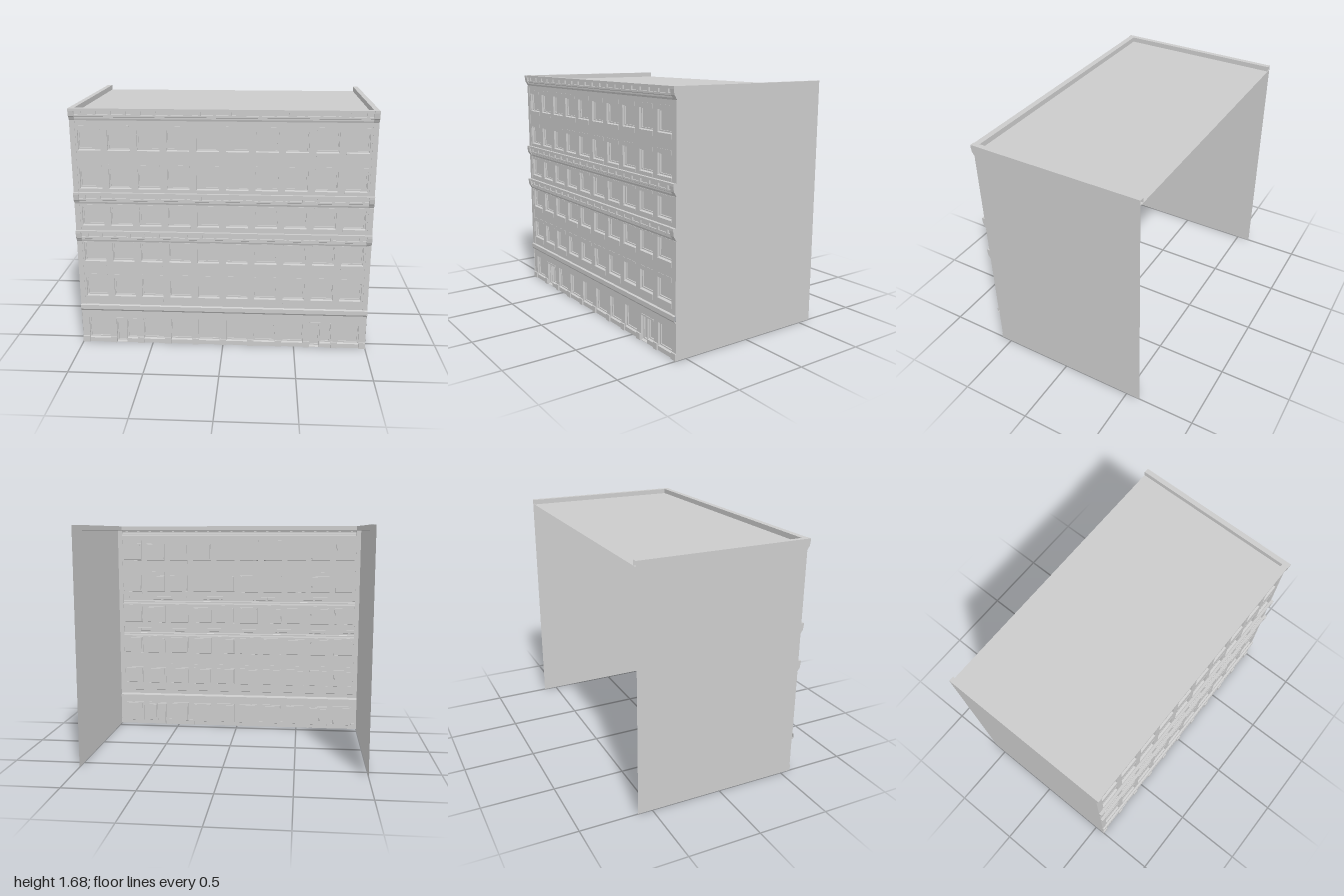
import * as THREE from 'three';

const mat = new THREE.MeshStandardMaterial({ color: 0xcccccc, side: THREE.DoubleSide, flatShading: true });
const WALL = 0.576, GROUND = 0.57, PITCH = 0.195, BAYS = 10, INNER = 0.965;
const bayX = (i) => (i - (BAYS - 1) / 2) * PITCH;

export function createModel() {
  const model = new THREE.Group();
  model.name = 'building';

  const add = (name, geometry, parent = model) => {
    const mesh = new THREE.Mesh(geometry, mat);
    mesh.name = name;
    parent.add(mesh);
    return mesh;
  };
  const box = (name, x0, x1, y0, y1, z0, z1, parent) =>
    add(name, new THREE.BoxGeometry(x1 - x0, y1 - y0, z1 - z0), parent)
      .position.set((x0 + x1) / 2, (y0 + y1) / 2, (z0 + z1) / 2);

  // Geometry from a list of four-cornered faces
  const fromQuads = (quads) => {
    const pos = [];
    for (const [a, b, c, d] of quads) pos.push(...a, ...b, ...c, ...a, ...c, ...d);
    const g = new THREE.BufferGeometry();
    g.setAttribute('position', new THREE.Float32BufferAttribute(pos, 3));
    g.computeVertexNormals();
    return g;
  };

  // Sheet swept along x from a [y, z] profile listed from bottom to top
  const band = (name, profile, half = 1) => {
    const quads = [];
    for (let i = 0; i < profile.length - 1; i++) {
      const [y0, z0] = profile[i], [y1, z1] = profile[i + 1];
      quads.push([[-half, y0, z0], [half, y0, z0], [half, y1, z1], [-half, y1, z1]]);
    }
    return add(name, fromQuads(quads));
  };

  // Stepped recess: jambs, sloped sill, frame step and pane
  const recess = (name, r, z, depth = 0.024) => {
    const ring = (inset, sill, zz) => [
      [r.x0 + inset, r.y0 + sill, zz], [r.x1 - inset, r.y0 + sill, zz],
      [r.x1 - inset, r.y1 - inset, zz], [r.x0 + inset, r.y1 - inset, zz]];
    const rings = [ring(0, 0, z), ring(0, 0.005, z - depth * 0.65),
      ring(0.008, 0.013, z - depth * 0.65), ring(0.008, 0.013, z - depth)];
    const quads = [rings[3]];
    for (let k = 0; k < 3; k++)
      for (let i = 0; i < 4; i++) {
        const j = (i + 1) % 4;
        quads.push([rings[k][i], rings[k][j], rings[k + 1][j], rings[k + 1][i]]);
      }
    add(name, fromQuads(quads));
  };

  // Wall sheet pierced by rectangular openings
  const wall = (name, y0, y1, z, openings) => {
    const rect = (P, a, b, c, d) => {
      const p = new P();
      p.moveTo(a, c); p.lineTo(b, c); p.lineTo(b, d); p.lineTo(a, d); p.closePath();
      return p;
    };
    const shape = rect(THREE.Shape, -1, 1, y0, y1);
    shape.holes = openings.map((o) => rect(THREE.Path, o.x0, o.x1, o.y0, o.y1));
    add(name, new THREE.ShapeGeometry(shape)).position.z = z;
    openings.forEach((o) => recess(o.name, o, z, o.depth));
  };

  // Ground floor: shop windows, with two bays holding a door beside a narrow window
  const ground = [];
  for (let i = 0; i < BAYS; i++) {
    const x0 = bayX(i) - 0.074, x1 = bayX(i) + 0.074;
    if (i === 1 || i === 8) {
      ground.push({ name: 'entranceDoor', x0, x1: x0 + 0.07, y0: 0.002, y1: 0.178, depth: 0.03 });
      ground.push({ name: 'sideWindow', x0: x0 + 0.074, x1, y0: 0.03, y1: 0.178 });
      box('doorHead', x0, x1, 0.18, 0.19, GROUND - 0.01, GROUND + 0.004);
    } else ground.push({ name: 'shopWindow', x0, x1, y0: 0.03, y1: 0.19 });
  }
  wall('groundFloorWall', 0, 0.25, GROUND, ground);

  // Plinth blocks at the foot of each pier
  for (let i = 0; i <= BAYS; i++) {
    const x0 = i === 0 ? -1 : bayX(i - 1) + 0.076;
    const x1 = i === BAYS ? 1 : bayX(i) - 0.076;
    box('pierPlinth', x0, x1, 0, 0.045, GROUND - 0.005, 0.58);
  }
  band('stringCourse', [[0.25, GROUND], [0.25, 0.582], [0.262, 0.59], [0.292, 0.59], [0.297, WALL]]);

  // Upper floors: window rows are [bottom, top, sill underside, lintel top]
  const storeys = [
    { y0: 0.297, y1: 0.765, rows: [[0.36, 0.495, 0.325, 0.525], [0.62, 0.755, 0.59, 0.764]] },
    { y0: 0.845, y1: 1.035, rows: [[0.88, 1.012, 0.868, 1.03]] },
    { y0: 1.115, y1: 1.6, rows: [[1.14, 1.277, 1.12, 1.305], [1.4, 1.537, 1.37, 1.567]] },
  ];
  for (const { y0, y1, rows } of storeys) {
    const openings = [];
    for (const [b, t, sill, lintel] of rows)
      for (let i = 0; i < BAYS; i++) {
        const x0 = bayX(i) - 0.074, x1 = bayX(i) + 0.074;
        openings.push({ name: 'window', x0, x1, y0: b, y1: t });
        box('windowSill', x0, x1, sill, b, WALL - 0.003, WALL + 0.003);
        box('windowLintel', x0, x1, t, lintel, WALL - 0.003, WALL + 0.002);
      }
    wall('upperWall', y0, y1, WALL, openings);
    for (const s of [-1, 1])
      box('cornerPilaster', Math.min(s, s * INNER), Math.max(s, s * INNER), y0, y1, WALL - 0.003, WALL + 0.003);
  }

  // Bracketed cornices, the highest one turning back into the parapet
  const cornice = (top, bottom, end) => {
    band('cornice', [[bottom, WALL], [bottom + 0.012, 0.58], [top - 0.058, 0.58], [top - 0.054, 0.588],
      [top - 0.042, 0.588], [top - 0.04, 0.584], [top - 0.016, 0.584], [top - 0.016, 0.596], [top, 0.596], ...end]);
    for (let i = 0; i < BAYS * 2; i++) {
      const x = (i - BAYS + 0.5) * PITCH / 2;
      box('corniceBracket', x - 0.009, x + 0.009, top - 0.042, top - 0.016, 0.58, 0.594);
    }
    // Corner consoles with a tapering foot
    for (const s of [-1, 1]) {
      const profile = new THREE.Shape([[WALL - 0.004, bottom], [0.581, bottom + 0.008], [0.588, top - 0.058],
        [0.595, top - 0.05], [0.6, top - 0.016], [0.6, top], [WALL - 0.004, top]]
        .map(([z, y]) => new THREE.Vector2(-z, y)));
      const g = new THREE.ExtrudeGeometry(profile, { depth: 1 - INNER, bevelEnabled: false });
      g.rotateY(Math.PI / 2);
      add('cornerConsole', g).position.x = s > 0 ? INNER : -1;
    }
  };
  cornice(0.845, 0.765, [[0.845, WALL]]);
  cornice(1.115, 1.035, [[1.115, WALL]]);
  cornice(1.68, 1.6, [[1.68, 0.555], [1.645, 0.555]]);

  // Side walls, side parapets and roof; back and underside stay open
  for (const s of [-1, 1]) {
    const side = add('sideWall', new THREE.PlaneGeometry(0.6 + WALL, 1.68));
    side.rotation.y = s * Math.PI / 2;
    side.position.set(s, 0.84, (WALL - 0.6) / 2);
    band('sideParapet', [[1.645, s * INNER], [1.68, s * INNER], [1.68, s]], 0.588)
      .rotation.y = Math.PI / 2;
  }
  const roof = add('roof', new THREE.PlaneGeometry(2, 0.6 + WALL));
  roof.rotation.x = -Math.PI / 2;
  roof.position.set(0, 1.645, (WALL - 0.6) / 2);

  // Shift the side parapets so they run from the open back to the front wall
  model.children.filter((m) => m.name === 'sideParapet').forEach((m) => { m.position.z = -0.012; });
  return model;
}
